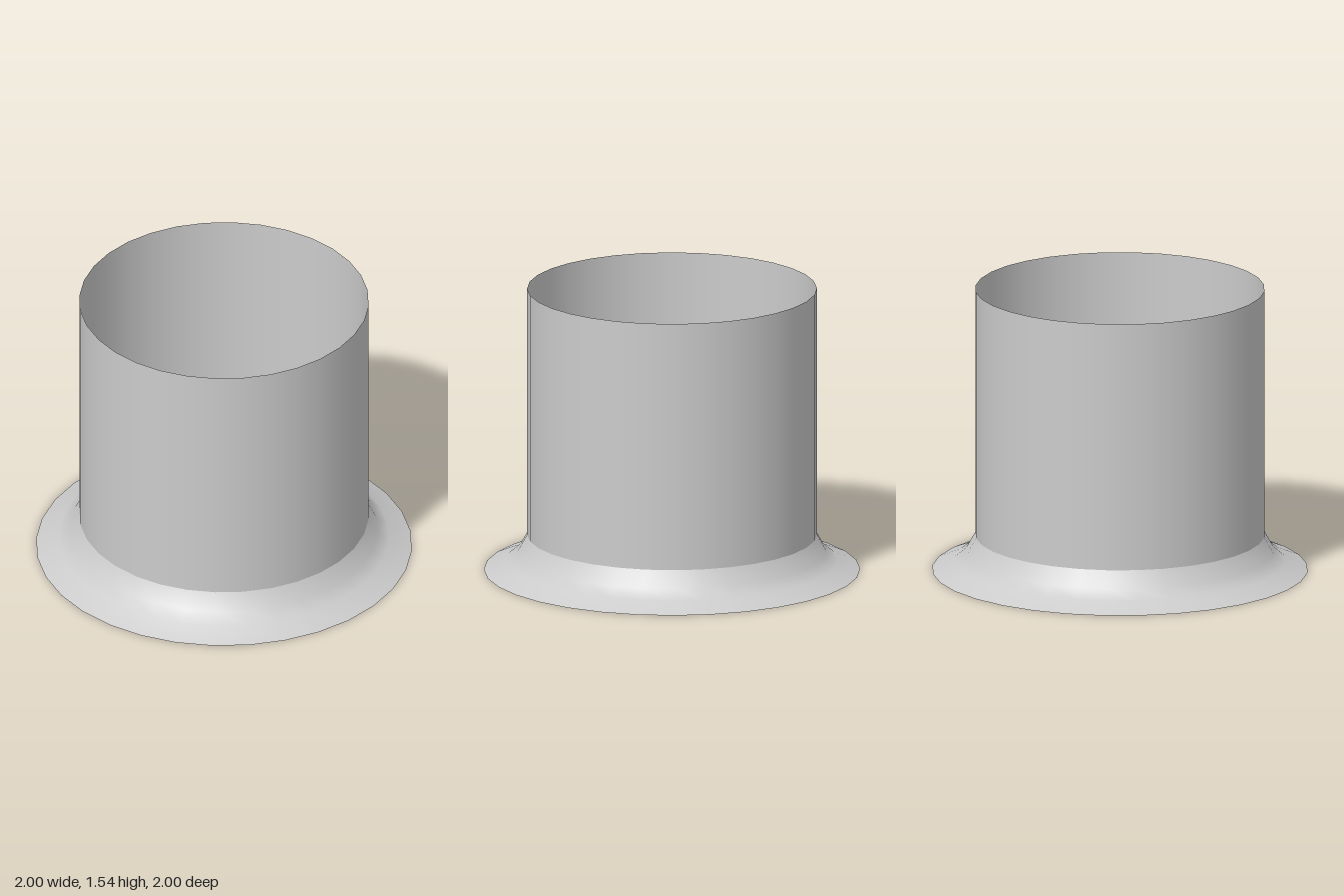
import * as THREE from 'three';

const SEGMENTS = 32;

export function createModel() {
  const group = new THREE.Group();
  group.name = 'flashedPipeCollar';
  const material = new THREE.MeshStandardMaterial({ color: 0xcccccc, side: THREE.DoubleSide });

  // Open thin-walled pipe running down to the ground
  const radius = 0.77, height = 1.54;
  const pipe = new THREE.Mesh(
    new THREE.CylinderGeometry(radius, radius, height, SEGMENTS, 1, true), material);
  pipe.position.y = height / 2;
  pipe.name = 'pipe';

  // Thin skirt flaring from the pipe wall out to the ground
  const profile = [[1, 0], [0.88, 0.05], [0.82, 0.1], [radius, 0.19]]
    .map(([x, y]) => new THREE.Vector2(x, y));
  const skirt = new THREE.Mesh(new THREE.LatheGeometry(profile, SEGMENTS), material);
  skirt.name = 'flaredSkirt';

  group.add(pipe, skirt);
  return group;
}
